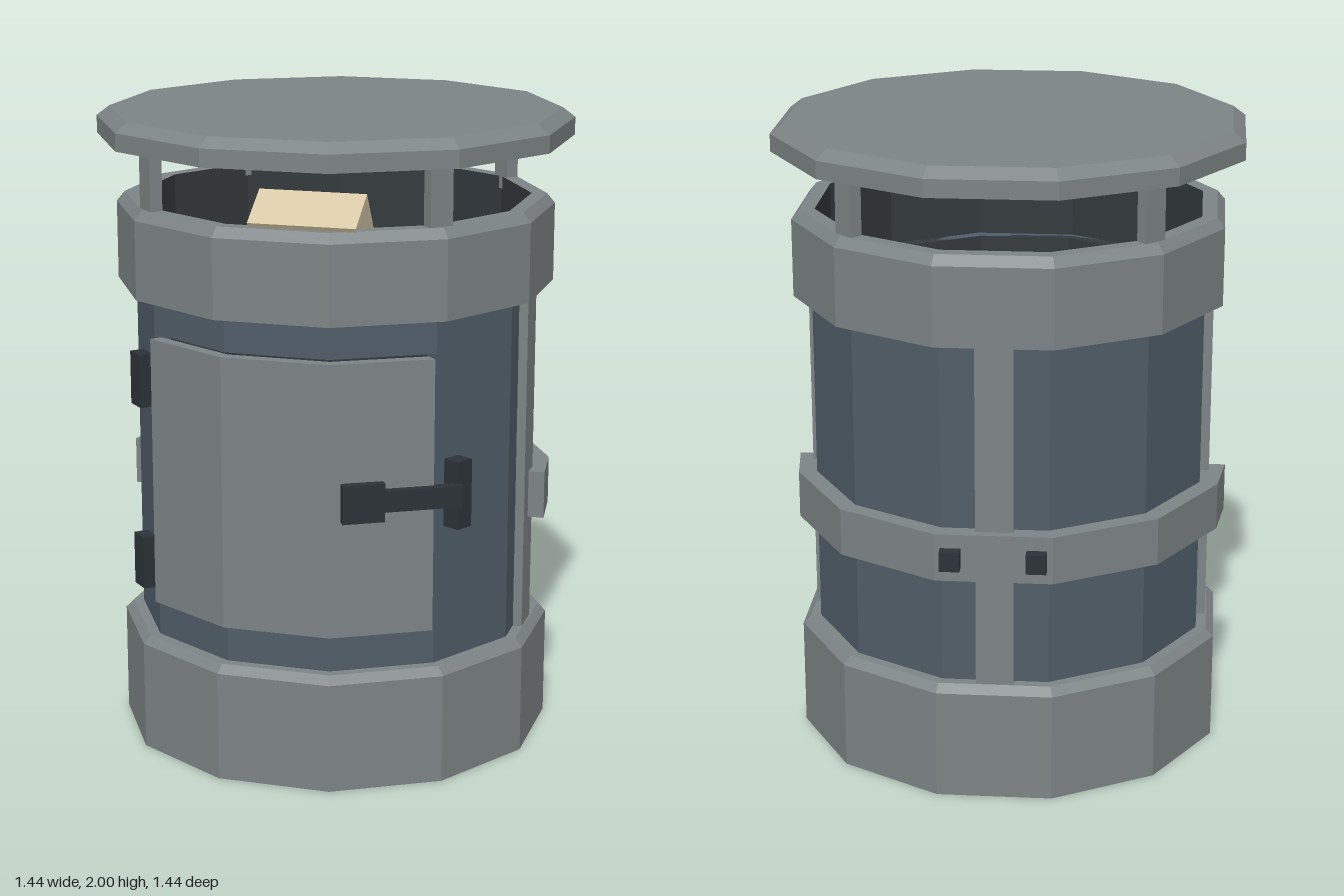
import * as THREE from 'three';

const mat = (name, color, extra = {}) => {
  const m = new THREE.MeshStandardMaterial({ color, ...extra });
  m.name = name;
  return m;
};
const rad = THREE.MathUtils.degToRad;

export function createModel() {
  const model = new THREE.Group();
  model.name = 'litterBin';

  const grey = mat('grey metal', 0x7d8485);
  const blue = mat('blue grey shell', 0x505d68);
  const dark = mat('dark fittings', 0x2c3238);
  const inside = mat('dark lining', 0x33393d, { side: THREE.DoubleSide });
  const paper = mat('beige paper', 0xd6c7a6);

  const add = (name, geometry, material) => {
    const mesh = new THREE.Mesh(geometry, material);
    mesh.name = name;
    model.add(mesh);
    return mesh;
  };

  // Twelve-sided turned part with a flat facing the front
  const turned = (name, profile, material) => {
    const pts = profile.map(([r, y]) => new THREE.Vector2(r, y));
    const g = new THREE.LatheGeometry(pts, 12, rad(15)).toNonIndexed();
    g.computeVertexNormals();
    return add(name, g, material);
  };

  // Curved wall: corners at the given angles (0 = front, 90 = +x)
  const wall = (name, angles, rIn, rOut, y0, y1, material) => {
    const at = (r) => (a) => new THREE.Vector2(r * Math.sin(rad(a)), -r * Math.cos(rad(a)));
    const shape = new THREE.Shape([...angles.map(at(rOut)), ...[...angles].reverse().map(at(rIn))]);
    const g = new THREE.ExtrudeGeometry(shape, { depth: y1 - y0, bevelEnabled: false });
    g.rotateX(-Math.PI / 2).translate(0, y0, 0);
    return add(name, g, material);
  };

  // Box turned so its depth points outward at the given angle
  const block = (name, [w, h, d], [x, y, z], angle, material) => {
    const mesh = add(name, new THREE.BoxGeometry(w, h, d), material);
    mesh.position.set(x, y, z);
    mesh.rotation.y = rad(angle);
    return mesh;
  };

  // Base, upper rim and lid
  turned('base', [[0, 0], [0.688, 0], [0.688, 0.345], [0.663, 0.37], [0.58, 0.37]], grey);
  turned('upperRim', [[0.58, 1.455], [0.688, 1.455], [0.688, 1.7], [0.663, 1.73], [0.615, 1.73]], grey);
  turned('lid', [[0, 1.915], [0.745, 1.915], [0.745, 1.97], [0.705, 2], [0, 2]], grey);
  turned('lining', [[0.615, 1.73], [0.615, 1.46], [0.57, 1.46], [0.57, 0.2], [0, 0.2]], inside);

  // Shell with a door opening across the three front facets
  const front = [-45, -15, 15, 45];
  const rest = Array.from({ length: 10 }, (_, i) => 45 + i * 30);
  wall('shell', rest, 0.575, 0.63, 0.36, 1.46, blue);
  wall('shellBelowDoor', front, 0.575, 0.63, 0.36, 0.475, blue);
  wall('shellAboveDoor', front, 0.575, 0.63, 1.345, 1.46, blue);
  wall('door', [-43.5, -15, 15, 43.5], 0.612, 0.652, 0.485, 1.335, grey);

  // Upright ribs on both sides and the back
  for (const a of [90, 180, 270]) {
    const s = Math.sin(rad(a)), c = Math.cos(rad(a));
    block('rib', [0.115, 1.1, 0.05], [0.612 * s, 0.91, 0.612 * c], a, grey);
  }

  // Strap around the back half, with two bolts
  wall('strap', [90, 105, 135, 165, 195, 225, 255, 270], 0.62, 0.688, 0.72, 0.87, grey);
  for (const x of [-0.13, 0.13]) block('bolt', [0.062, 0.062, 0.06], [x, 0.795, -0.67], 0, dark);

  // Posts holding up the lid
  for (const a of [45, 135, 225, 315]) {
    block('lidPost', [0.075, 0.24, 0.04],
      [0.632 * Math.sin(rad(a)), 1.81, 0.632 * Math.cos(rad(a))], a, grey);
  }

  // Hinges and latch
  for (const y of [0.617, 1.203]) block('hinge', [0.07, 0.167, 0.045], [-0.485, y, 0.455], -45, dark);
  block('latchPad', [0.13, 0.12, 0.035], [0.26, 0.91, 0.59], 30, dark);
  block('latchBar', [0.26, 0.066, 0.036], [0.41, 0.913, 0.505], 30, dark);
  block('latchPlate', [0.06, 0.212, 0.058], [0.505, 0.908, 0.402], 60, dark);

  // Folded sheet hanging over the rim
  const fold = new THREE.Shape([
    [0.605, 1.842], [0.722, 1.762], [0.714, 1.75], [0.608, 1.822], [0.535, 1.7], [0.518, 1.705],
  ].map(([z, y]) => new THREE.Vector2(-z, y)));
  const sheet = new THREE.ExtrudeGeometry(fold, { depth: 0.325, bevelEnabled: false });
  sheet.rotateY(Math.PI / 2).translate(-0.05, 0, 0);
  add('foldedPaper', sheet, paper);

  return model;
}
